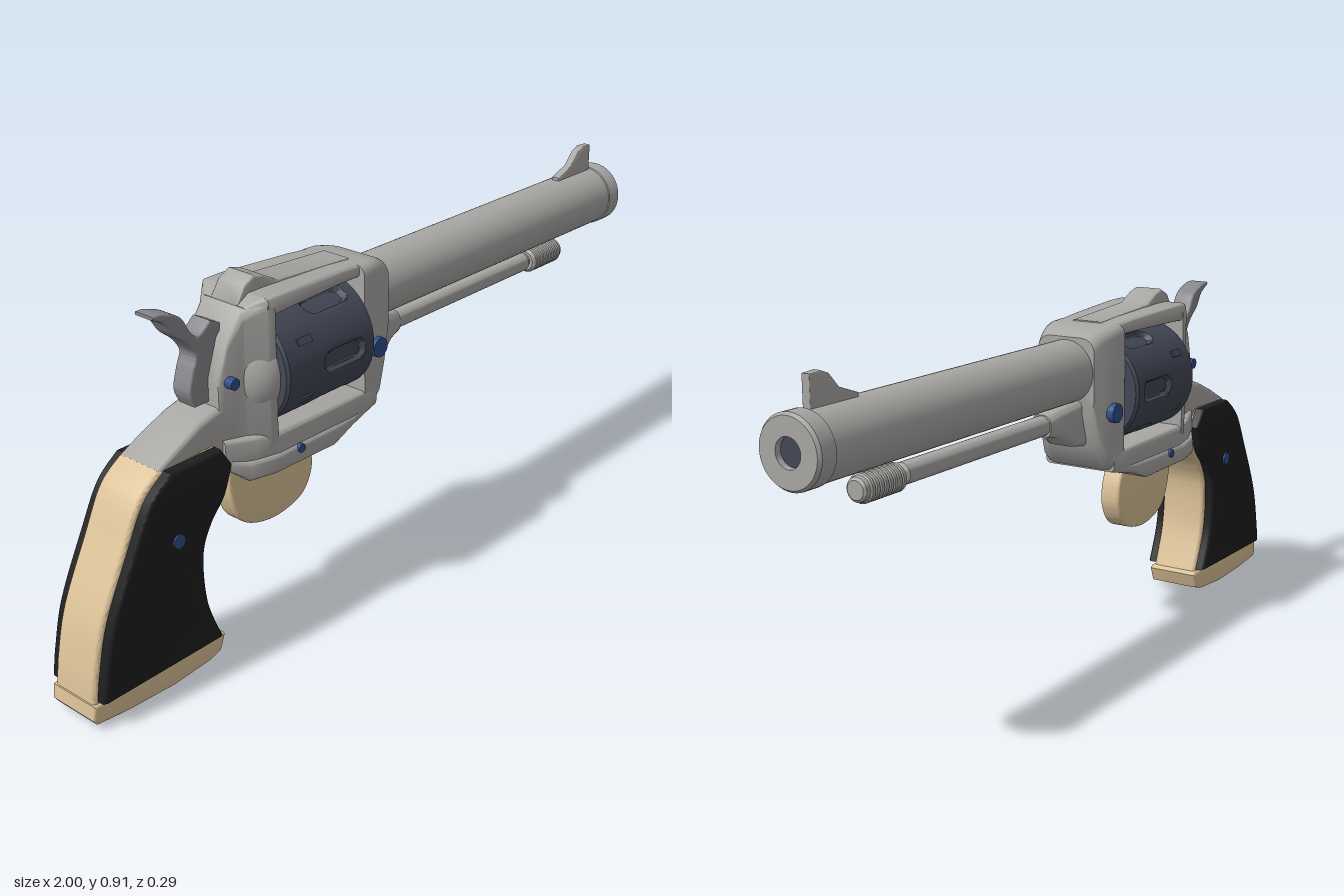
import * as THREE from 'three';
import { toCreasedNormals } from 'three/addons/utils/BufferGeometryUtils.js';

const mat = (name, color) => Object.assign(new THREE.MeshStandardMaterial({ color }), { name });
const V = (pts) => pts.map(([x, y]) => new THREE.Vector2(x, y));

export function createModel() {
  const steel = mat('brushed steel', 0xa9a7a4);
  const darkSteel = mat('hammer steel', 0x88888c);
  const gunmetal = mat('blued gunmetal', 0x434756);
  const tan = mat('tan brass', 0xdcc298);
  const black = mat('black grip', 0x1e1e1e);
  const blue = mat('blue screw', 0x2f4f88);
  const model = new THREE.Group();
  model.name = 'revolver';

  const add = (name, geo, material, x = 0, y = 0, z = 0) => {
    const m = new THREE.Mesh(geo, material);
    m.name = name;
    m.position.set(x, y, z);
    model.add(m);
    return m;
  };

  // Side outline extruded symmetrically about z = 0
  const plate = (shape, half, bevel = 0.008) => {
    const g = new THREE.ExtrudeGeometry(shape, {
      depth: 2 * (half - bevel), curveSegments: 10, bevelEnabled: true,
      bevelThickness: bevel, bevelSize: bevel, bevelOffset: -bevel, bevelSegments: 3,
    });
    g.translate(0, 0, bevel - half);
    return toCreasedNormals(g, 0.6);
  };

  // Turned part along x, profile given as [x, radius]
  const turned = (pts, segments = 48) => {
    const g = new THREE.LatheGeometry(V(pts.map(([x, r]) => [r, x])), segments);
    g.rotateZ(-Math.PI / 2);
    return toCreasedNormals(g, 0.6);
  };

  // Loft of rounded rectangles along x, stations [x, yLow, yHigh, halfWidth, corner]
  const loft = (stations) => {
    const pos = [], idx = [], n = 20;
    for (const [x, y0, y1, w, r] of stations) {
      for (let q = 0; q < 4; q++) for (let k = 0; k < 5; k++) {
        const t = (q + k / 4) * Math.PI / 2;
        const sy = q === 0 || q === 3 ? 1 : -1, sz = q < 2 ? 1 : -1;
        pos.push(x, (y0 + y1) / 2 + sy * ((y1 - y0) / 2 - r) + r * Math.cos(t),
          sz * (w - r) + r * Math.sin(t));
      }
    }
    const last = (stations.length - 1) * n;
    for (let i = 0; i < last; i += n) for (let j = 0; j < n; j++) {
      const a = i + j, b = i + (j + 1) % n;
      idx.push(a, b, a + n, b, b + n, a + n);
    }
    for (let j = 1; j < n - 1; j++) idx.push(0, j + 1, j, last, last + j, last + j + 1);
    const g = new THREE.BufferGeometry();
    g.setAttribute('position', new THREE.Float32BufferAttribute(pos, 3));
    g.setIndex(idx);
    return toCreasedNormals(g, 0.6);
  };

  // Barrel with muzzle collar and bore
  add('barrel', turned([[-0.06, 0], [-0.06, 0.08], [0.95, 0.08]]), steel, 0, 0.747);
  add('muzzleCollar', turned([[0.945, 0.076], [0.948, 0.083], [0.992, 0.083], [1, 0.077],
    [1, 0.034], [0.95, 0.034]]), steel, 0, 0.747);
  add('bore', turned([[0.95, 0.033], [0.985, 0.033], [0.985, 0]], 24), gunmetal, 0, 0.747);
  add('frontSight', plate(new THREE.Shape(V([[0.79, 0.815], [0.94, 0.815], [0.94, 0.898],
    [0.905, 0.9], [0.88, 0.89], [0.85, 0.857], [0.79, 0.835]])), 0.011, 0.003), steel);

  // Ejector rod under the barrel
  add('ejectorHousing', loft([[-0.06, 0.55, 0.68, 0.05, 0.02], [0, 0.56, 0.675, 0.048, 0.02],
    [0.05, 0.59, 0.665, 0.036, 0.02], [0.09, 0.598, 0.655, 0.028, 0.02]]), steel);
  add('ejectorRod', turned([[0.06, 0.026], [0.645, 0.026], [0.655, 0.018], [0.68, 0.018]], 32),
    steel, 0, 0.627);
  const knob = [[0.66, 0], [0.66, 0.027]];
  for (let i = 0; i < 8; i++) {
    const x = 0.668 + i * 0.015;
    knob.push([x, 0.034], [x + 0.009, 0.034], [x + 0.012, 0.03]);
  }
  knob.push([0.795, 0.028], [0.8, 0.022], [0.8, 0]);
  add('ejectorKnob', turned(knob, 24), steel, 0, 0.625);

  // Frame: front block, top strap, lower rail, recoil shield and tang
  add('frameFront', loft([[-0.135, 0.475, 0.858, 0.105, 0.025], [-0.1, 0.48, 0.857, 0.104, 0.025],
    [-0.07, 0.5, 0.853, 0.098, 0.028], [-0.045, 0.555, 0.846, 0.09, 0.03],
    [-0.022, 0.64, 0.834, 0.083, 0.035]]), steel);
  add('topStrap', loft([[-0.49, 0.81, 0.852, 0.07, 0.012], [-0.455, 0.825, 0.872, 0.105, 0.012],
    [-0.4, 0.828, 0.872, 0.105, 0.012], [-0.2, 0.828, 0.864, 0.092, 0.012],
    [-0.11, 0.825, 0.857, 0.088, 0.012]]), steel);
  add('rearSight', loft([[-0.49, 0.82, 0.855, 0.042, 0.006], [-0.465, 0.82, 0.893, 0.042, 0.008],
    [-0.435, 0.82, 0.908, 0.042, 0.008], [-0.405, 0.82, 0.9, 0.042, 0.008],
    [-0.36, 0.82, 0.876, 0.042, 0.006], [-0.12, 0.82, 0.861, 0.042, 0.006]]), steel);
  add('lowerFrame', loft([[-0.57, 0.485, 0.555, 0.07, 0.012], [-0.5, 0.47, 0.545, 0.095, 0.012],
    [-0.43, 0.46, 0.54, 0.107, 0.012], [-0.13, 0.476, 0.536, 0.107, 0.012],
    [-0.09, 0.483, 0.53, 0.103, 0.012]]), steel);
  add('guardPlate', loft([[-0.56, 0.475, 0.505, 0.075, 0.01], [-0.52, 0.443, 0.492, 0.1, 0.01],
    [-0.45, 0.44, 0.488, 0.113, 0.01], [-0.25, 0.437, 0.488, 0.113, 0.01],
    [-0.18, 0.463, 0.49, 0.11, 0.01], [-0.09, 0.483, 0.505, 0.1, 0.008]]), steel);
  add('recoilShield', loft([[-0.575, 0.52, 0.7, 0.06, 0.02], [-0.545, 0.51, 0.79, 0.065, 0.02],
    [-0.5, 0.5, 0.845, 0.07, 0.02], [-0.458, 0.5, 0.868, 0.105, 0.02],
    [-0.437, 0.5, 0.868, 0.107, 0.02]]), steel);
  const dome = add('shieldDome', new THREE.SphereGeometry(0.118, 40, 24), steel, -0.438, 0.677);
  dome.scale.x = 0.7;
  add('tang', loft([[-0.765, 0.535, 0.556, 0.064, 0.008], [-0.7, 0.53, 0.59, 0.064, 0.012],
    [-0.63, 0.53, 0.622, 0.062, 0.015], [-0.56, 0.5, 0.64, 0.062, 0.015],
    [-0.48, 0.5, 0.64, 0.065, 0.015]]), steel);

  // Rotating cylinder with six fluted recesses pressed into its wall
  const R = 0.143, drumX = -0.2875, drumY = 0.68;
  const drum = new THREE.CylinderGeometry(R, R, 0.285, 192, 60, true);
  drum.rotateZ(-Math.PI / 2);
  const p = drum.attributes.position;
  for (let i = 0; i < p.count; i++) {
    const x = p.getX(i), a = Math.atan2(p.getY(i), p.getZ(i));
    const step = Math.PI / 3, off = (a - Math.round(a / step) * step) * R;
    const dx = Math.max(0, Math.abs(x - 0.044) - 0.042);
    const d = Math.hypot(dx, off);
    const depth = 0.014 * THREE.MathUtils.clamp((0.029 - d) / 0.007, 0, 1);
    const s = (R - depth) / R;
    p.setXYZ(i, x, p.getY(i) * s, p.getZ(i) * s);
  }
  add('cylinder', toCreasedNormals(drum, 0.5), gunmetal, drumX, drumY);
  add('cylinderEnds', turned([[-0.149, 0], [-0.149, 0.136], [-0.142, R], [-0.13, R],
    [-0.13, 0.125], [0.13, 0.125], [0.142, R], [0.149, 0.136], [0.149, 0]], 64), gunmetal, drumX, drumY);
  for (let i = 0; i < 6; i++) {
    const a = (i + 0.5) * Math.PI / 3;
    const notch = add('cylinderNotch', new THREE.BoxGeometry(0.044, 0.018, 0.008), gunmetal,
      -0.365, drumY + Math.sin(a) * R, Math.cos(a) * R);
    notch.rotation.x = -a;
  }

  // Hammer and trigger
  const hammer = new THREE.Shape(V([[-0.725, 0.893]]));
  hammer.moveTo(-0.725, 0.893);
  hammer.splineThru(V([[-0.695, 0.89], [-0.645, 0.868], [-0.618, 0.825], [-0.595, 0.81], [-0.56, 0.835]]));
  hammer.lineTo(-0.53, 0.82);
  hammer.lineTo(-0.53, 0.645);
  hammer.lineTo(-0.615, 0.642);
  hammer.splineThru(V([[-0.63, 0.68], [-0.618, 0.73], [-0.607, 0.765], [-0.63, 0.8], [-0.665, 0.83],
    [-0.69, 0.865], [-0.725, 0.885]]));
  add('hammer', plate(hammer, 0.028, 0.004), darkSteel);
  const trigger = new THREE.Shape();
  trigger.moveTo(-0.45, 0.46);
  trigger.splineThru(V([[-0.446, 0.38], [-0.425, 0.325], [-0.392, 0.297]]));
  trigger.lineTo(-0.386, 0.31);
  trigger.splineThru(V([[-0.41, 0.345], [-0.42, 0.39], [-0.4, 0.46]]));
  add('trigger', plate(trigger, 0.018, 0.004), darkSteel);

  // Trigger guard loop
  const guard = new THREE.Shape();
  guard.moveTo(-0.525, 0.45);
  guard.splineThru(V([[-0.515, 0.36], [-0.475, 0.29], [-0.38, 0.262], [-0.285, 0.282],
    [-0.245, 0.335], [-0.243, 0.395], [-0.265, 0.45]]));
  const opening = new THREE.Path();
  opening.moveTo(-0.497, 0.442);
  opening.splineThru(V([[-0.487, 0.365], [-0.455, 0.312], [-0.38, 0.288], [-0.302, 0.305],
    [-0.27, 0.345], [-0.268, 0.39], [-0.288, 0.442]]));
  guard.holes.push(opening);
  add('triggerGuard', plate(guard, 0.028, 0.006), tan);

  // Grip: tan strap core, black side panels, tan butt plate
  const gripShape = (e) => {
    const s = new THREE.Shape();
    s.moveTo(-0.752 - e, 0.553 + e * 0.3);
    s.splineThru(V([[-0.815 - e, 0.5 + e * 0.5], [-0.87 - e, 0.4], [-0.94 - e, 0.255],
      [-0.97 - e, 0.14], [-0.981 - e, 0.072 - e]]));
    s.lineTo(-0.62 + e, 0.072 - e);
    s.splineThru(V([[-0.661 + e, 0.185], [-0.667 + e, 0.31], [-0.64 + e, 0.38],
      [-0.595 + e, 0.435], [-0.568 + e, 0.505]]));
    s.lineTo(-0.6, 0.553 + e * 0.3);
    return s;
  };
  add('gripStrap', plate(gripShape(0.012), 0.066, 0.01), tan);
  const panel = plate(gripShape(0), 0.016, 0.008);
  for (const side of [1, -1]) add('gripPanel', panel, black, 0, 0, side * 0.075);
  const butt = new THREE.Shape(V([[-0.996, 0.066], [-1, 0.03], [-0.99, 0.016], [-0.9, 0.006],
    [-0.76, 0], [-0.65, 0.008], [-0.612, 0.02], [-0.597, 0.06], [-0.61, 0.068]]));
  add('buttPlate', plate(butt, 0.073, 0.007), tan);

  // Screws running through to both sides: x, y, radius, half length
  for (const [x, y, r, h] of [[-0.087, 0.64, 0.025, 0.115], [-0.37, 0.478, 0.011, 0.118],
    [-0.545, 0.692, 0.014, 0.085], [-0.742, 0.382, 0.017, 0.096]]) {
    const g = new THREE.CylinderGeometry(r, r, 2 * h, 20);
    g.rotateX(Math.PI / 2);
    add('screw', toCreasedNormals(g, 0.6), blue, x, y);
  }
  return model;
}
